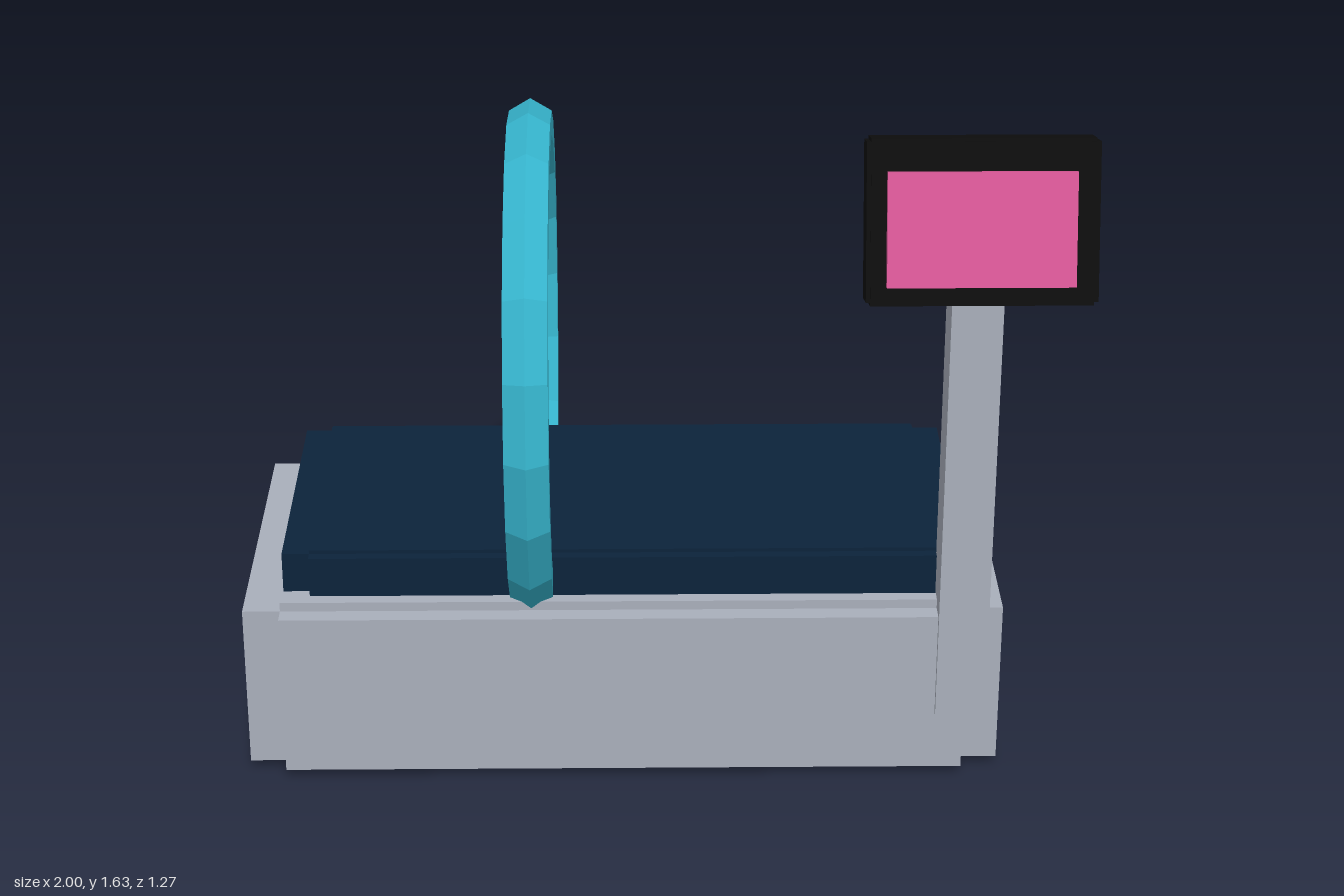
import * as THREE from 'three';
import { mergeGeometries } from 'three/addons/utils/BufferGeometryUtils.js';

const material = (name, color) => {
  const m = new THREE.MeshStandardMaterial({ color });
  m.name = name;
  return m;
};

// Box with notched edges: three overlapping boxes, each full length along one axis only
function notchedBox(size, inset) {
  return mergeGeometries([0, 1, 2].map((axis) =>
    new THREE.BoxGeometry(...size.map((s, i) => (i === axis ? s : s - 2 * inset[i])))));
}

export function createModel() {
  const model = new THREE.Group();
  model.name = 'scannerBed';
  const grey = material('grey casing', 0xa9afbb);
  const navy = material('navy padding', 0x0c233b);
  const teal = material('teal ring', 0x37b7d0);
  const black = material('black plastic', 0x0d0d0d);
  const pink = material('pink display', 0xdb5898);

  const add = (name, geometry, mat, position, parent = model) => {
    const mesh = new THREE.Mesh(geometry, mat);
    mesh.name = name;
    mesh.position.set(...position);
    parent.add(mesh);
    return mesh;
  };

  // Base and padded top
  add('base', notchedBox([1.83, 0.46, 0.91], [0.091, 0.023, 0.046]), grey, [-0.085, 0.23, 0]);
  add('mattress', notchedBox([1.64, 0.24, 0.75], [0.066, 0.009, 0.026]), navy, [-0.085, 0.45, 0]);

  // Faceted hoop standing across the bed, its lower part sunk into the base
  teal.flatShading = true;
  const ring = add('ring', new THREE.TorusGeometry(0.575, 0.06, 6, 20), teal, [-0.305, 0.92, 0]);
  ring.rotation.y = Math.PI / 2;

  // Post carrying the monitor
  add('post', new THREE.BoxGeometry(0.12, 1.175, 0.12), grey, [0.73, 0.7625, 0.41]);

  // Monitor tilted back
  const monitor = new THREE.Group();
  monitor.name = 'monitor';
  monitor.position.set(0.735, 1.438, 0.41);
  monitor.rotation.x = -0.255;
  model.add(monitor);
  add('monitorCase', notchedBox([0.53, 0.382, 0.09], [0.01, 0.008, 0.003]), black, [0, 0, 0], monitor);
  add('display', new THREE.BoxGeometry(0.43, 0.263, 0.03), pink, [-0.004, -0.015, 0.052], monitor);

  return model;
}
